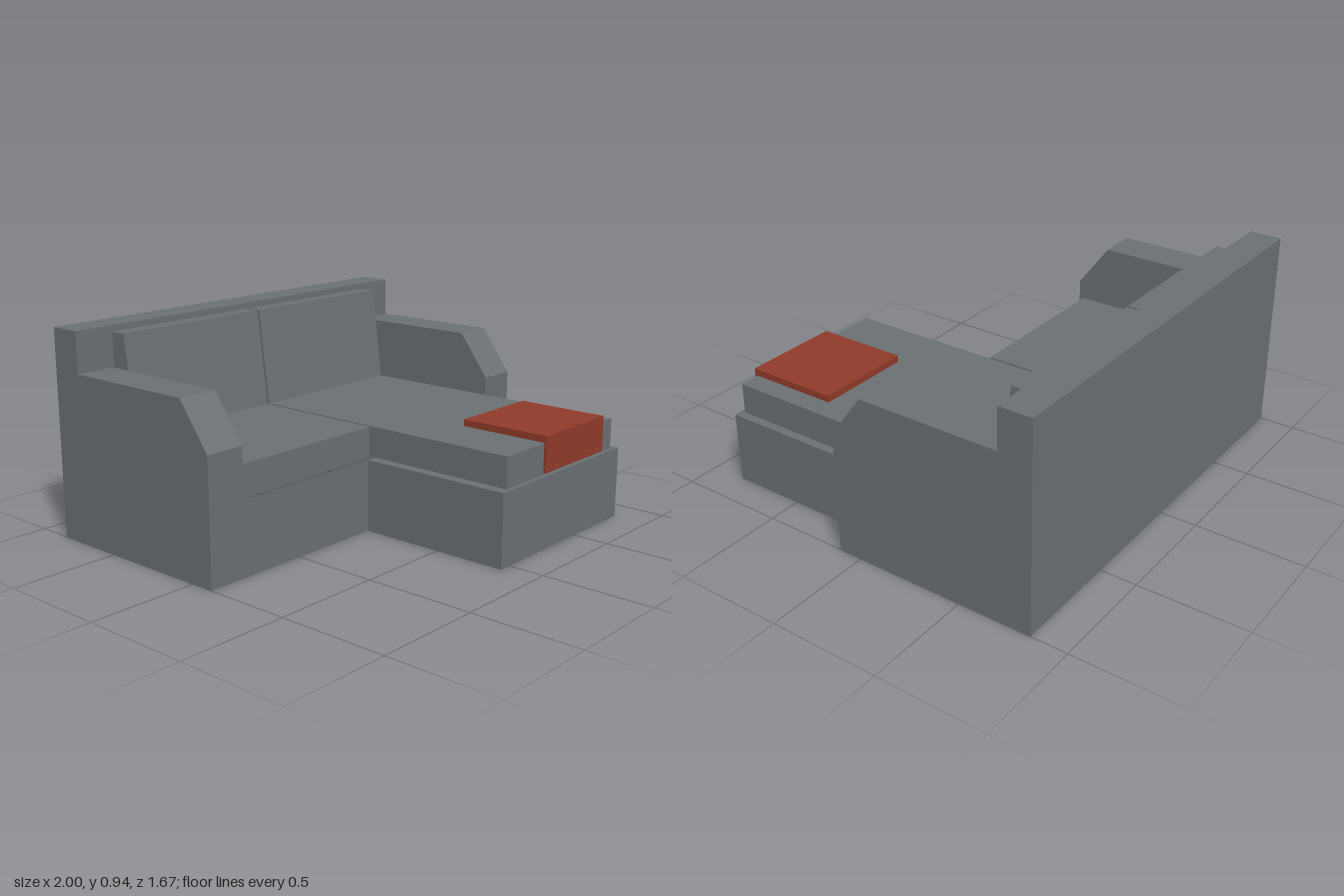
import * as THREE from 'three';
import { mergeGeometries } from 'three/addons/utils/BufferGeometryUtils.js';

// Profiles are lists of [z, y], running up the front, over the top and down the back.

// Sheet that sweeps a profile from x0 to x1
function strip(profile, x0, x1) {
  const pos = [];
  for (let i = 0; i < profile.length - 1; i++) {
    const [za, ya] = profile[i], [zb, yb] = profile[i + 1];
    pos.push(x0, ya, za, x1, ya, za, x1, yb, zb);
    pos.push(x0, ya, za, x1, yb, zb, x0, yb, zb);
  }
  const g = new THREE.BufferGeometry();
  g.setAttribute('position', new THREE.Float32BufferAttribute(pos, 3));
  g.computeVertexNormals();
  return g;
}

// Flat side panel at x, facing +x (side 1) or -x (side -1)
function cap(profile, x, side) {
  const shape = new THREE.Shape(profile.map(([z, y]) => new THREE.Vector2(-side * z, y)));
  const g = new THREE.ShapeGeometry(shape).toNonIndexed();
  g.deleteAttribute('uv');
  return g.rotateY(side * Math.PI / 2).translate(x, 0, 0);
}

// Swept profile with both sides closed; the underside stays open
function shell(profile, x0, x1) {
  return mergeGeometries([strip(profile, x0, x1), cap(profile, x0, -1), cap(profile, x1, 1)]);
}

const block = (zf, zb, y0, y1) => [[zf, y0], [zf, y1], [zb, y1], [zb, y0]];

export function createModel() {
  const group = new THREE.Group();
  const fabric = new THREE.MeshStandardMaterial({ color: 0x6b7073, side: THREE.DoubleSide });
  fabric.name = 'greyFabric';
  const red = new THREE.MeshStandardMaterial({ color: 0x903b2a, side: THREE.DoubleSide });
  red.name = 'redBlanket';

  const add = (name, geometry, material = fabric) => {
    const mesh = new THREE.Mesh(geometry, material);
    mesh.name = name;
    group.add(mesh);
  };

  const front = 0.11, back = -0.835, inner = -0.685, seatY = 0.33, cushionY = 0.47, topY = 0.94;
  const armTop = [[front, 0.555], [-0.04, 0.757], [inner, 0.757]];

  // Backrest and front panel of the hollow base
  add('backrest', strip([[inner, seatY], [inner, topY], [back, topY], [back, 0]], -1, 1));
  add('frontPanel', strip([[front, 0], [front, seatY]], -0.815, 0.815));

  // Arms: outer panel reaches the floor, inner panel stops at the seat
  for (const side of [-1, 1]) {
    const outer = [[front, 0], ...armTop, [inner, topY], [back, topY], [back, 0]];
    const inside = [[front, seatY], ...armTop, [inner, seatY]];
    const x0 = side > 0 ? 0.815 : -1;
    add(side > 0 ? 'leftArm' : 'rightArm', mergeGeometries([
      strip([[front, 0], ...armTop], x0, x0 + 0.185),
      cap(outer, side, side),
      cap(inside, side * 0.815, -side),
    ]));
  }

  // Chaise base in front of the body
  add('chaiseBase', shell([[0.835, 0], [0.835, seatY], [front, seatY]].concat([[front, 0]]), -0.06, 0.85));

  // Seat cushions, one short and one long, each with a sloped back cushion
  const backCushion = [[-0.555, cushionY], [-0.61, 0.912], [inner, 0.912], [inner, cushionY]];
  const sections = [['right', -0.81, -0.022, 0.085], ['chaise', -0.01, 0.81, 0.815]];
  for (const [name, x0, x1, zf] of sections) {
    add(name + 'SeatCushion', shell(block(zf, inner, seatY, cushionY), x0, x1));
    add(name + 'BackCushion', shell(backCushion, x0, x1));
  }

  // Folded blanket hanging over the end of the chaise
  const throwProfile = [
    [0.828, 0.34], [0.828, 0.503], [0.395, 0.503], [0.395, 0.472],
    [0.817, 0.472], [0.817, 0.34], [0.828, 0.34],
  ];
  add('blanket', shell(throwProfile, 0.257, 0.717), red);

  return group;
}
